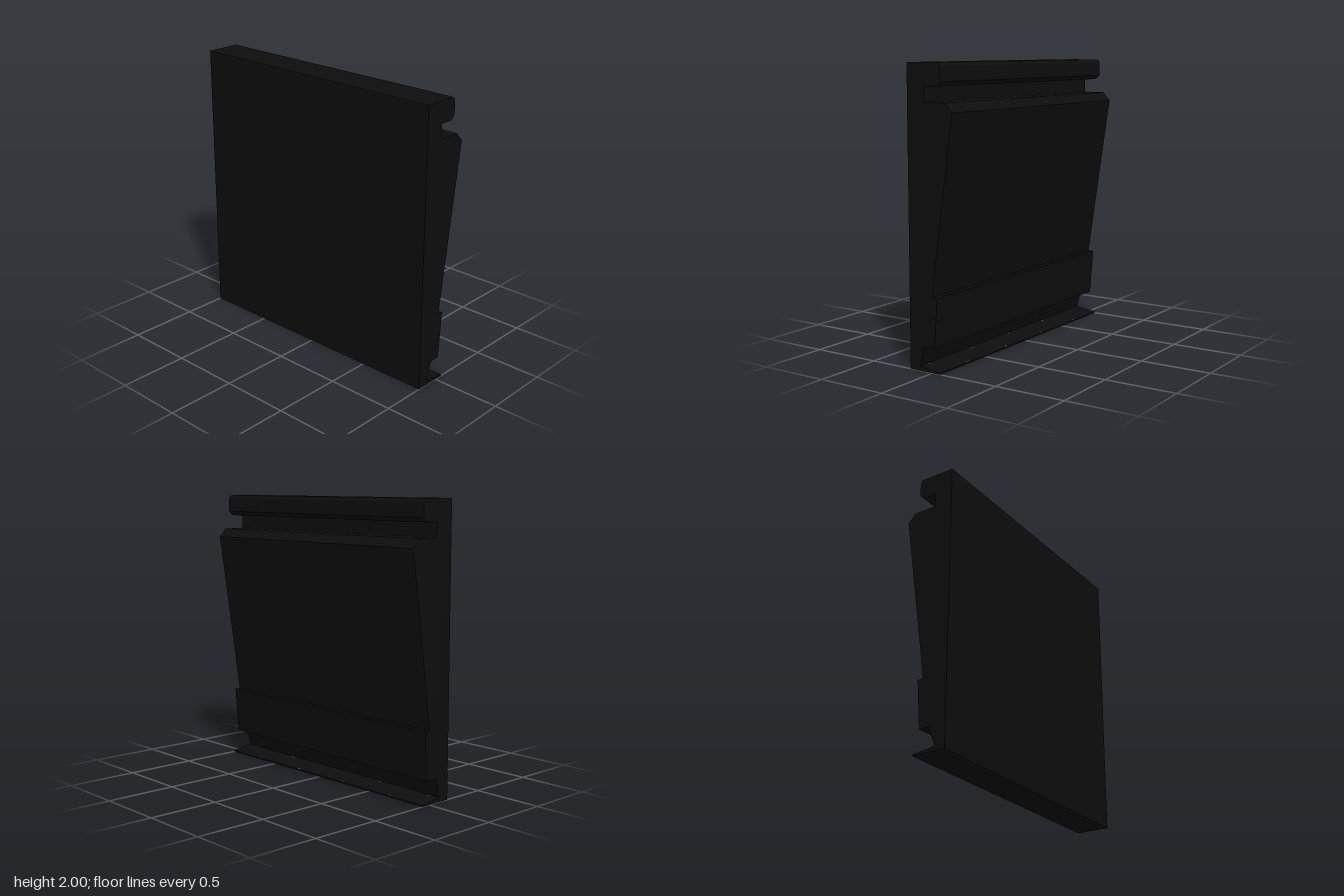
import * as THREE from 'three';

const WIDTH = 2;

// Side profile as [depth towards the back, height]
const PROFILE = [
  [-0.18, 0], [0.065, 0], [0.065, 0.01],                 // thin foot lip
  [-0.1, 0.032], [-0.06, 0.165],                         // recess above the lip
  [0.02, 0.165], [0.045, 0.5], [0.003, 0.5],             // lower board
  [0.177, 1.69], [0.12, 1.75],                           // sloping back panel
  [-0.042, 1.75], [-0.042, 1.85],                        // groove
  [0.055, 1.85], [0.085, 1.88], [0.085, 1.978], [0.07, 2], // chamfered top rail
  [-0.18, 2],
];

export function createModel() {
  const model = new THREE.Group();
  model.name = 'wallPanel';

  const black = new THREE.MeshStandardMaterial({ color: 0x0d0d0d });
  black.name = 'black';
  const grey = new THREE.MeshStandardMaterial({ color: 0x8c8c8c });
  grey.name = 'worn grey';

  // Moulded panel: the profile runs the whole width
  const shape = new THREE.Shape(PROFILE.map(([d, y]) => new THREE.Vector2(d, y)));
  const geometry = new THREE.ExtrudeGeometry(shape, { depth: WIDTH, bevelEnabled: false });
  geometry.translate(0, 0, -WIDTH / 2);
  geometry.rotateY(Math.PI / 2);
  const panel = new THREE.Mesh(geometry, black);
  panel.name = 'mouldedPanel';
  model.add(panel);

  // Small scuffs along the foot lip, tilted with its upper face
  const scuffs = new THREE.Group();
  scuffs.name = 'lipScuffs';
  const scuffShape = new THREE.BoxGeometry(0.03, 0.001, 0.004);
  const slope = Math.atan2(0.022, 0.165);
  for (let i = 0; i < 9; i++) {
    const x = -0.92 + i * 0.23;
    const z = i % 2 ? -0.055 : 0.085;
    const scuff = new THREE.Mesh(scuffShape, grey);
    scuff.name = 'scuff';
    scuff.position.set(x, 0.0105 + (z + 0.065) * Math.tan(slope), z);
    scuff.rotation.x = -slope;
    scuffs.add(scuff);
  }
  model.add(scuffs);

  return model;
}
